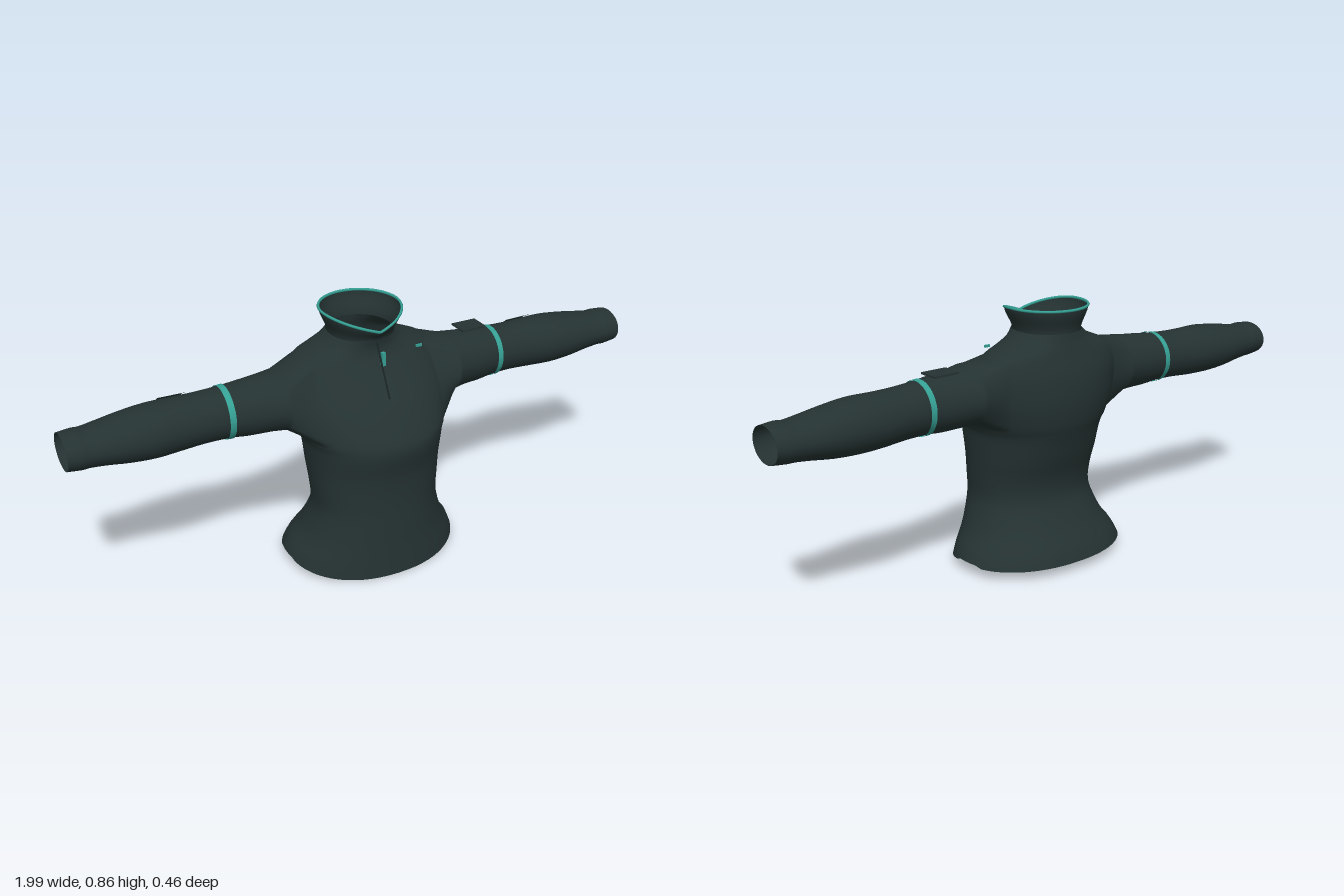
import * as THREE from 'three';

const fabric = new THREE.MeshStandardMaterial({ color: 0x253232, side: THREE.DoubleSide });
fabric.name = 'dark fabric';
const teal = new THREE.MeshStandardMaterial({ color: 0x35a094, side: THREE.DoubleSide });
teal.name = 'teal trim';
const dark = new THREE.MeshStandardMaterial({ color: 0x1a2424, side: THREE.DoubleSide });
dark.name = 'zip tape';

const STEP = 3;   // subdivisions between key sections
const N = 64;     // columns around the torso
const K = 6;      // half-width of an armhole, in columns

// Key torso sections: height, half width, front z, back z
const TORSO = [
  [0.00, 0.302, 0.22, -0.227], [0.05, 0.285, 0.217, -0.212], [0.11, 0.255, 0.214, -0.186],
  [0.17, 0.23, 0.212, -0.153], [0.23, 0.215, 0.21, -0.129], [0.30, 0.219, 0.21, -0.134],
  [0.37, 0.225, 0.215, -0.157], [0.43, 0.23, 0.227, -0.174], [0.465, 0.235, 0.23, -0.185],
  [0.495, 0.249, 0.222, -0.194], [0.55, 0.262, 0.19, -0.202], [0.60, 0.266, 0.156, -0.203],
  [0.66, 0.262, 0.108, -0.197], [0.715, 0.238, 0.068, -0.181], [0.738, 0.19, 0.058, -0.175],
  [0.76, 0.138, 0.056, -0.169], [0.785, 0.108, 0.06, -0.165]];
const HOLE = [9 * STEP, 13 * STEP];

// Key sleeve sections: x, bottom y, top y, front z, back z
const SLEEVE = [
  [0.30, 0.515, 0.708, 0.088, -0.142], [0.35, 0.517, 0.702, 0.07, -0.132],
  [0.42, 0.517, 0.696, 0.055, -0.123], [0.48, 0.522, 0.69, 0.045, -0.12],
  [0.56, 0.522, 0.685, 0.04, -0.122], [0.64, 0.517, 0.684, 0.042, -0.129],
  [0.72, 0.515, 0.684, 0.05, -0.134], [0.80, 0.52, 0.675, 0.046, -0.132],
  [0.87, 0.53, 0.664, 0.038, -0.124], [0.925, 0.536, 0.656, 0.034, -0.118],
  [0.95, 0.536, 0.658, 0.036, -0.117], [0.995, 0.541, 0.654, 0.032, -0.113]];

// Smoothly subdivides a table of sections
function refine(rows) {
  const out = [];
  for (let i = 0; i < rows.length - 1; i++) {
    const p = [i - 1, i, i + 1, i + 2].map(k => rows[Math.min(Math.max(k, 0), rows.length - 1)]);
    for (let s = 0; s < STEP; s++) {
      const t = s / STEP;
      out.push(p[1].map((b, c) => {
        const a = p[0][c], d = p[2][c], e = p[3][c];
        return b + 0.5 * t * (d - a + t * (2 * a - 5 * b + 4 * d - e + t * (3 * (b - d) + e - a)));
      }));
    }
  }
  out.push(rows[rows.length - 1]);
  return out;
}
const torsoRows = refine(TORSO), sleeveRows = refine(SLEEVE);

function geometry(points, index) {
  const g = new THREE.BufferGeometry();
  g.setAttribute('position', new THREE.Float32BufferAttribute(points.flat(), 3));
  g.setIndex(index);
  g.computeVertexNormals();
  return g;
}

// Grid of quads from a point rule
function sheet(rows, cols, rule) {
  const pts = [], idx = [];
  for (let r = 0; r <= rows; r++) for (let c = 0; c <= cols; c++) pts.push(rule(r / rows, c / cols));
  for (let r = 0; r < rows; r++) for (let c = 0; c < cols; c++) {
    const a = r * (cols + 1) + c, d = a + cols + 1;
    idx.push(a, d, a + 1, a + 1, d, d + 1);
  }
  return geometry(pts, idx);
}

// Height of the bottom edge, with a shallow notch at the sides
function hem(z) {
  if (z > 0.03) return 0.037 * Math.max(0, 0.22 - z) / 0.19;
  return z > -0.065 ? 0.043 : 0.035;
}

function torsoPoint([y, w, f, b], t) {
  const pow = v => Math.sign(v) * Math.abs(v) ** 0.92;
  const x = w * pow(Math.cos(t)), z = (f + b) / 2 + (f - b) / 2 * pow(Math.sin(t));
  return [x, y + hem(z) * Math.max(0, 1 - y / 0.12), z];
}

// Point on a sleeve section; angle runs from the front over the top
function sleevePoint([x, y0, y1, f, b], a, side, off = 0) {
  return [side * x, (y0 + y1) / 2 + ((y1 - y0) / 2 + off) * Math.sin(a),
    (f + b) / 2 + ((f - b) / 2 + off) * Math.cos(a)];
}

function sleeveAt(x) {
  let i = 0;
  while (i < sleeveRows.length - 2 && sleeveRows[i + 1][0] < x) i++;
  const p = sleeveRows[i], q = sleeveRows[i + 1], t = (x - p[0]) / (q[0] - p[0]);
  return p.map((v, c) => v + (q[c] - v) * t);
}

// Torso and both sleeves as one continuous shell
function shellGeometry() {
  const pts = [], idx = [], [r0, r1] = HOLE, m = r1 - r0;
  for (const row of torsoRows) for (let c = 0; c < N; c++) pts.push(torsoPoint(row, c / N * Math.PI * 2));
  const id = (r, c) => r * N + (c + N) % N;
  for (let r = 0; r < torsoRows.length - 1; r++) for (let c = 0; c < N; c++) {
    const o = (c + K) % (N / 2);
    if (r >= r0 && r < r1 && o < 2 * K) continue;
    const a = id(r, c), b = id(r, c + 1), d = id(r + 1, c), e = id(r + 1, c + 1);
    idx.push(a, d, b, b, d, e);
  }
  // walk round the armhole, then carry that loop out along the arm
  const loop = [];
  for (let j = 0; j < m; j++) loop.push([K, j]);
  for (let i = K; i > -K; i--) loop.push([i, m]);
  for (let j = m; j > 0; j--) loop.push([-K, j]);
  for (let i = -K; i < K; i++) loop.push([i, 0]);
  for (const side of [1, -1]) {
    const base = side > 0 ? 0 : N / 2;
    let prev = loop.map(([i, j]) => id(r0 + j, base + i));
    for (const row of sleeveRows) {
      const next = loop.map(([i, j]) => {
        const a = Math.atan2(j / m * 2 - 1, i / K);
        pts.push(sleevePoint(row, side > 0 ? a : Math.PI - a, side));
        return pts.length - 1;
      });
      next.forEach((q, k) => {
        const k1 = (k + 1) % next.length;
        idx.push(prev[k], q, prev[k1], prev[k1], q, next[k1]);
      });
      prev = next;
    }
  }
  return geometry(pts, idx);
}

// Flared collar whose top edge dips to a V at the front
function collarPoint(v, t) {
  const s = Math.sin(t), c = Math.cos(t), e = v * v * (3 - 2 * v);
  const w = 0.107 + 0.025 * e, f = 0.06 + 0.024 * e, b = -0.165 - 0.021 * e;
  const dip = s > 0 ? 0.042 * (1 - Math.abs(c)) : 0;
  return [w * c, 0.782 + v * (0.079 - dip), (f + b) / 2 + (f - b) / 2 * s];
}

export function createModel() {
  const model = new THREE.Group();
  model.name = 'pullover';
  const add = (name, geo, mat, pos) => {
    const mesh = new THREE.Mesh(geo, mat);
    mesh.name = name;
    if (pos) mesh.position.set(...pos);
    model.add(mesh);
    return mesh;
  };

  add('torsoAndSleeves', shellGeometry(), fabric);
  add('collar', sheet(8, 64, (v, u) => collarPoint(v, u * Math.PI * 2)), fabric);
  const rim = [];
  for (let i = 0; i < 48; i++) rim.push(new THREE.Vector3(...collarPoint(1, i / 48 * Math.PI * 2)));
  add('collarTrim', new THREE.TubeGeometry(new THREE.CatmullRomCurve3(rim, true), 96, 0.0045, 6, true), teal);

  // arm bands and elbow patches
  for (const side of [1, -1]) {
    const tag = side > 0 ? 'left' : 'right';
    add(tag + 'ArmBand', sheet(2, 48, (v, u) =>
      sleevePoint(sleeveAt(0.476 + 0.02 * v), u * Math.PI * 2, side, 0.003)), teal);
    add(tag + 'ElbowPatch', sheet(6, 12, (v, u) =>
      sleevePoint(sleeveAt(0.595 + 0.08 * v), 1.9 + 1.3 * u, side, 0.004)), fabric);
  }
  add('upperArmPatch', new THREE.BoxGeometry(0.09, 0.006, 0.07), fabric, [0.415, 0.705, -0.053]);

  // front zip with its pull, and a small chest tab
  const zip = new THREE.LineCurve3(new THREE.Vector3(0, 0.615, 0.148), new THREE.Vector3(0, 0.775, 0.063));
  add('zip', new THREE.TubeGeometry(zip, 8, 0.003, 6), dark);
  add('zipPull', new THREE.BoxGeometry(0.012, 0.045, 0.012), teal, [0.012, 0.725, 0.082]);
  add('chestTab', new THREE.BoxGeometry(0.02, 0.008, 0.006), teal, [0.16, 0.728, 0.05]);
  return model;
}
